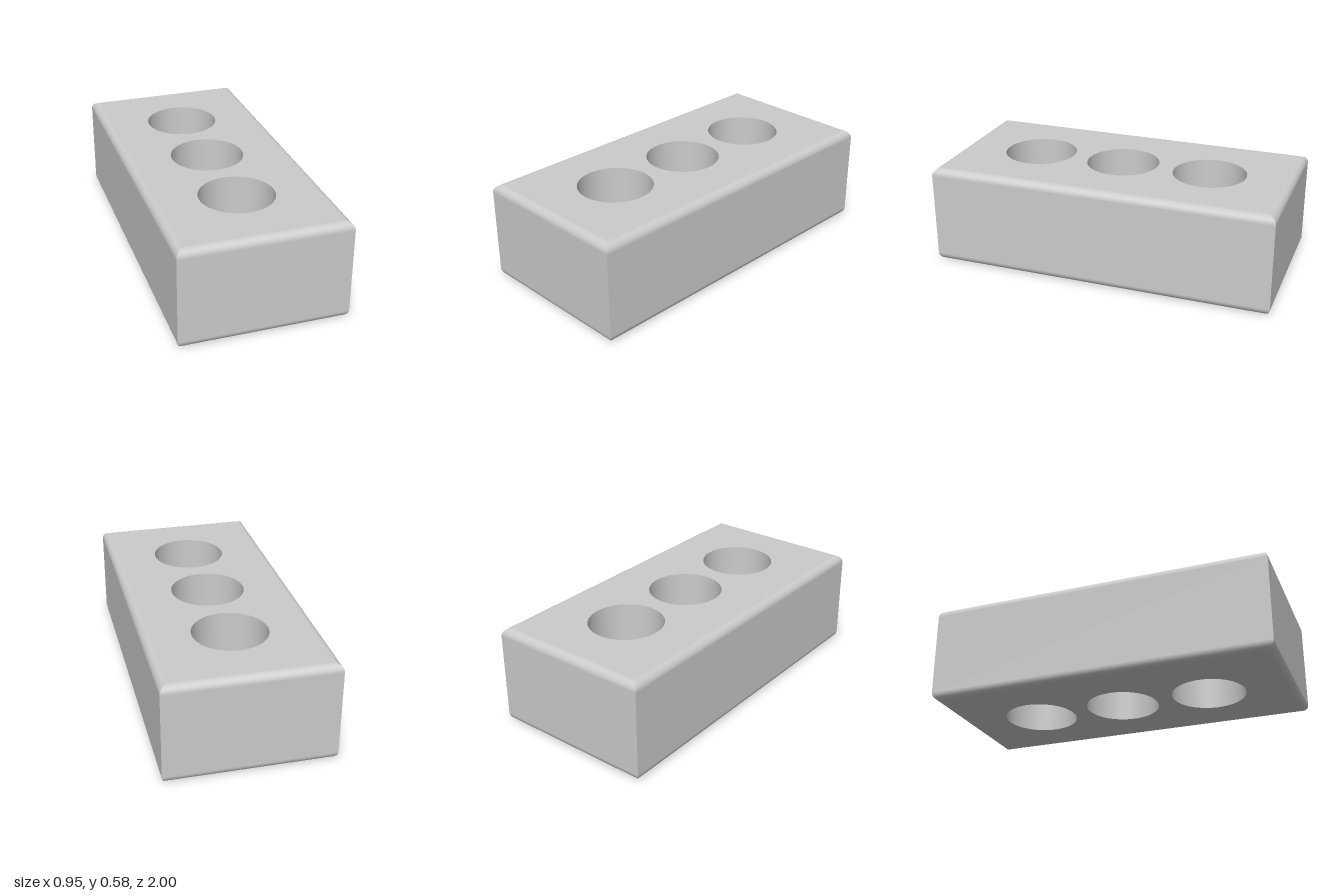
import * as THREE from 'three';
import { mergeGeometries } from 'three/addons/utils/BufferGeometryUtils.js';

const HALF_W = 0.477, HALF_D = 1, HEIGHT = 0.582, BEVEL = 0.045;
const HOLE_R = 0.211, HOLE_Z = [-0.522, 0, 0.522], SEGMENTS = 64, STEPS = 8;

// Side profile from top to bottom: inset from the wall, height, and slope angle
function sideProfile() {
  const points = [];
  for (const end of [1, -1]) {
    for (let i = 0; i <= STEPS; i++) {
      const t = (end > 0 ? 1 - i / STEPS : i / STEPS) * Math.PI / 2;
      const lift = HEIGHT / 2 - BEVEL + BEVEL * Math.sin(t);
      points.push({ inset: BEVEL * (1 - Math.cos(t)), y: HEIGHT / 2 + end * lift, angle: end * t });
    }
  }
  return points;
}

// One wall with rounded top and bottom edges, mitred at the corners
function wall(halfWidth, distance, turn) {
  const profile = sideProfile();
  const geo = new THREE.PlaneGeometry(2, 1, 1, profile.length - 1);
  const { position, normal } = geo.attributes;
  profile.forEach(({ inset, y, angle }, row) => {
    [-1, 1].forEach((side, col) => {
      const i = row * 2 + col;
      position.setXYZ(i, side * (halfWidth - inset), y, distance - inset);
      normal.setXYZ(i, 0, Math.sin(angle), Math.cos(angle));
    });
  });
  return geo.rotateY(turn);
}

// Flat face with three round openings
function face(y, facing) {
  const w = HALF_W - BEVEL, d = HALF_D - BEVEL;
  const shape = new THREE.Shape([[-w, -d], [w, -d], [w, d], [-w, d]].map(p => new THREE.Vector2(...p)));
  for (const z of HOLE_Z) {
    shape.holes.push(new THREE.Path().absarc(0, z, HOLE_R, 0, Math.PI * 2, true));
  }
  return new THREE.ShapeGeometry(shape, SEGMENTS / 2).rotateX(-facing * Math.PI / 2).translate(0, y, 0);
}

export function createModel() {
  const group = new THREE.Group();
  group.name = 'brick';

  // Outer block
  const body = new THREE.Mesh(
    mergeGeometries([
      wall(HALF_W, HALF_D, 0),
      wall(HALF_D, HALF_W, Math.PI / 2),
      wall(HALF_W, HALF_D, Math.PI),
      wall(HALF_D, HALF_W, -Math.PI / 2),
      face(HEIGHT, 1),
      face(0, -1),
    ]),
    new THREE.MeshStandardMaterial({ color: 0xcccccc }),
  );
  body.name = 'body';
  group.add(body);

  // Walls of the through holes
  const holeMaterial = new THREE.MeshStandardMaterial({ color: 0xcccccc, side: THREE.DoubleSide });
  HOLE_Z.forEach((z, i) => {
    const hole = new THREE.Mesh(
      new THREE.CylinderGeometry(HOLE_R, HOLE_R, HEIGHT, SEGMENTS, 1, true), holeMaterial);
    hole.position.set(0, HEIGHT / 2, z);
    hole.name = ['backHole', 'middleHole', 'frontHole'][i];
    group.add(hole);
  });

  return group;
}
